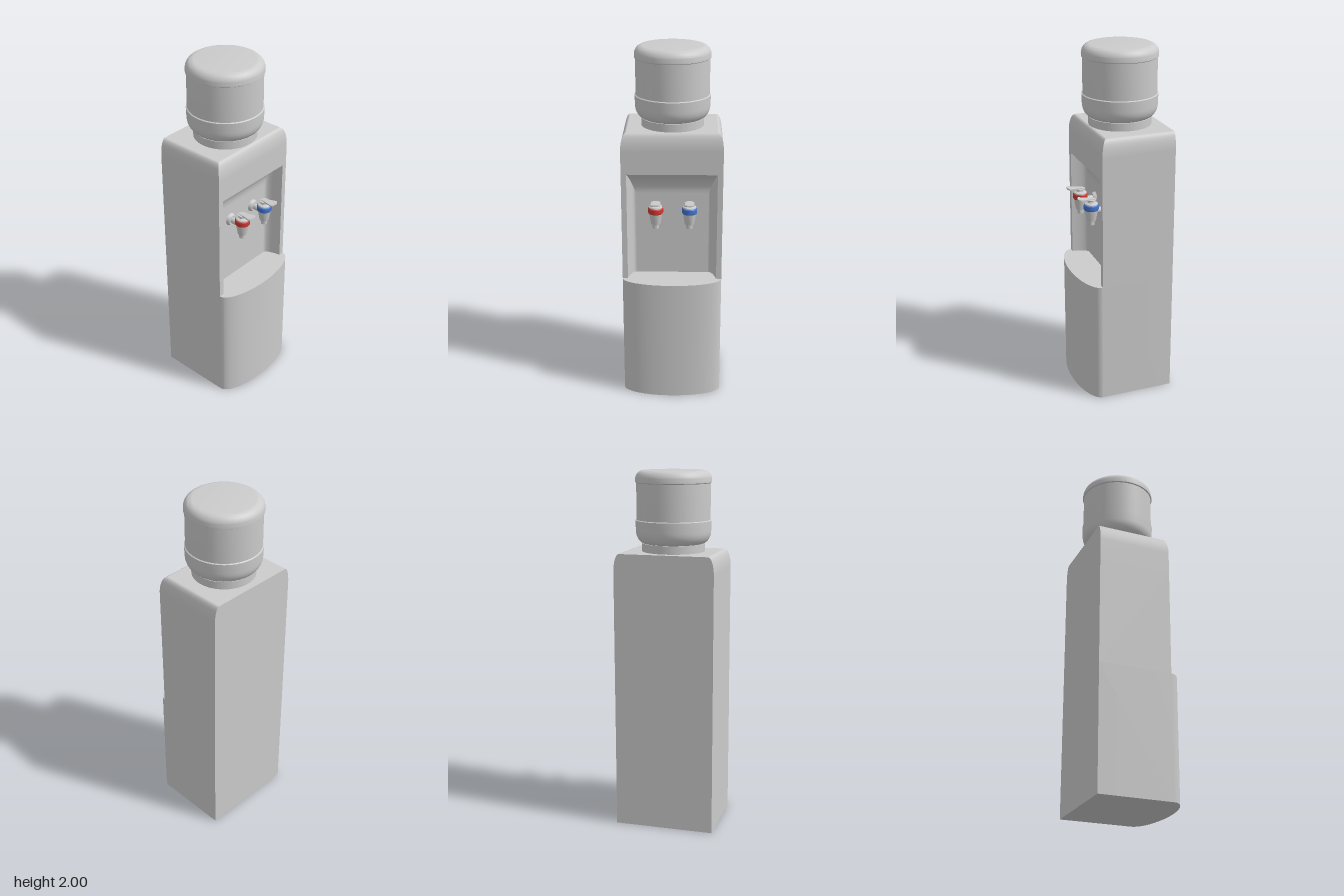
import * as THREE from 'three';
import { toCreasedNormals } from 'three/addons/utils/BufferGeometryUtils.js';

const W = 0.28, BACK = -0.26, FRONT = 0.16, SHELF = 0.71, TOP = 1.56;
const NICHE_W = 0.25, NICHE_TOP = 1.33, NICHE_Z = 0.07;
const BOTTLE_Z = -0.045;

const grey = new THREE.MeshStandardMaterial({ color: 0xcccccc });
const red = new THREE.MeshStandardMaterial({ color: 0xd0392f });
const blue = new THREE.MeshStandardMaterial({ color: 0x4474cc });

function add(parent, name, geometry, material = grey, x = 0, y = 0, z = 0) {
  const mesh = new THREE.Mesh(geometry, material);
  mesh.name = name;
  mesh.position.set(x, y, z);
  parent.add(mesh);
  return mesh;
}

// Ruled surface through [p, q] pairs: smooth along the rows, sharp at its sides
function strip(rows) {
  const index = [];
  for (let i = 0; i < rows.length - 1; i++) {
    const a = i * 2;
    index.push(a, a + 1, a + 3, a, a + 3, a + 2);
  }
  const g = new THREE.BufferGeometry();
  g.setAttribute('position', new THREE.Float32BufferAttribute(rows.flat(2), 3));
  g.setIndex(index);
  g.computeVertexNormals();
  return g;
}

// Rounded profile turned around y; points are [radius, height]
function turned(points, segments, crease = 0.6) {
  const g = new THREE.LatheGeometry(points.map(([r, y]) => new THREE.Vector2(r, y)), segments);
  return toCreasedNormals(g, crease);
}

// Points of an elliptical quarter arc, from angle a to angle b
function arc(cx, cy, rx, ry, a, b, n = 8) {
  return Array.from({ length: n + 1 }, (_, i) => {
    const t = a + (b - a) * i / n;
    return [cx + rx * Math.cos(t), cy + ry * Math.sin(t)];
  });
}

function createBase() {
  const s = new THREE.Shape();
  s.moveTo(-W, -BACK);
  s.lineTo(-W, -FRONT);
  s.absellipse(0, -FRONT, W, 0.1, Math.PI, Math.PI * 2, false);
  s.lineTo(W, -BACK);
  s.closePath();
  const g = new THREE.ExtrudeGeometry(s, { depth: SHELF, bevelEnabled: false, curveSegments: 40 });
  g.rotateX(-Math.PI / 2);
  return toCreasedNormals(g, 0.6);
}

function createCabinet() {
  const cabinet = new THREE.Group();
  cabinet.name = 'upperCabinet';

  // Outer shell: rings drawn in towards the rounded top, back stays upright
  const profile = [[0, SHELF], [0, NICHE_TOP], ...arc(-0.032, TOP - 0.1, 0.032, 0.1, 0, Math.PI / 2, 10)];
  const rings = profile.map(([d, y]) => [
    [-W - d, y, FRONT + d], [W + d, y, FRONT + d], [W + d, y, BACK], [-W - d, y, BACK],
  ]);
  ['front', 'leftSide', 'back', 'rightSide'].forEach((name, k) => {
    const rows = rings.map((r) => [r[k], r[(k + 1) % 4]]);
    add(cabinet, name + 'Panel', strip(k === 0 ? rows.slice(1) : rows));
  });
  const end = rings[rings.length - 1];
  add(cabinet, 'topPanel', strip([[end[0], end[1]], [end[3], end[2]]]));

  // Posts on both sides of the niche
  for (const side of [-1, 1]) {
    const g = new THREE.PlaneGeometry(W - NICHE_W, NICHE_TOP - SHELF);
    add(cabinet, 'nichePost', g, grey, side * (W + NICHE_W) / 2, (NICHE_TOP + SHELF) / 2, FRONT);
  }

  // Niche: walls and ceiling curve into the rear panel
  const curve = new THREE.QuadraticBezierCurve(
    new THREE.Vector2(0, FRONT), new THREE.Vector2(0.4, NICHE_Z), new THREE.Vector2(1, NICHE_Z));
  const steps = curve.getPoints(12).map(({ x: t, y: z }) => {
    const w = NICHE_W - 0.045 * t, top = NICHE_TOP - 0.135 * t;
    return [[w, SHELF, z], [w, top, z], [-w, top, z], [-w, SHELF, z]];
  });
  ['nicheLeftWall', 'nicheCeiling', 'nicheRightWall'].forEach((name, k) => {
    add(cabinet, name, strip(steps.map((r) => [r[k], r[k + 1]])));
  });
  const rear = steps[steps.length - 1];
  add(cabinet, 'nicheRearPanel', strip([[rear[3], rear[0]], [rear[2], rear[1]]]));
  return cabinet;
}

function createBottle() {
  const bottle = new THREE.Group();
  bottle.name = 'waterBottle';
  bottle.position.z = BOTTLE_Z;
  add(bottle, 'collar', new THREE.CylinderGeometry(0.174, 0.174, 0.045, 40), grey, 0, TOP + 0.0225, 0);
  add(bottle, 'bottle', turned([
    [0, 1.6], [0.155, 1.6],
    ...arc(0.155, 1.675, 0.053, 0.072, -Math.PI / 2, 0),
    [0.21, 1.73], [0.204, 1.734], [0.204, 1.932], [0.21, 1.936],
    ...arc(0.165, 1.95, 0.045, 0.05, 0, Math.PI / 2),
    [0, 2],
  ], 40));
  return bottle;
}

function createTap(name, x, material) {
  const tap = new THREE.Group();
  tap.name = name;
  tap.position.set(x, 0, FRONT);
  add(tap, 'spout', turned([
    [0, 1.02], [0.018, 1.02], [0.018, 1.045], [0.026, 1.045], [0.037, 1.11],
  ], 20));
  add(tap, 'colouredRing', turned([
    [0.03, 1.108], [0.038, 1.108], [0.042, 1.113], [0.042, 1.136], [0.038, 1.141], [0.03, 1.141],
  ], 20), material);
  add(tap, 'cap', turned([
    [0.038, 1.139], [0.036, 1.147], [0.022, 1.153], [0.02, 1.161], [0.027, 1.165], [0.027, 1.169], [0, 1.171],
  ], 20));

  // Flared lever with a rounded end, tilted up to the front
  const s = new THREE.Shape();
  s.moveTo(-0.012, -0.02);
  s.lineTo(0.012, -0.02);
  s.quadraticCurveTo(0.016, 0.025, 0.029, 0.063);
  s.bezierCurveTo(0.03, 0.083, -0.03, 0.083, -0.029, 0.063);
  s.quadraticCurveTo(-0.016, 0.025, -0.012, -0.02);
  const lever = new THREE.ExtrudeGeometry(s, { depth: 0.008, bevelEnabled: false, curveSegments: 10 });
  lever.rotateX(Math.PI / 2);
  add(tap, 'lever', toCreasedNormals(lever, 0.6), grey, 0, 1.174, 0).rotation.x = -0.09;

  // Stem and flange joining the tap to the niche
  const stem = new THREE.CylinderGeometry(0.017, 0.017, 0.09, 16).rotateX(Math.PI / 2);
  add(tap, 'stem', stem, grey, 0, 1.1, -0.045);
  const flange = new THREE.CylinderGeometry(0.028, 0.036, 0.018, 20).rotateX(Math.PI / 2);
  add(tap, 'flange', flange, grey, 0, 1.1, NICHE_Z - FRONT + 0.009);
  return tap;
}

export function createModel() {
  const model = new THREE.Group();
  model.name = 'waterDispenser';
  add(model, 'base', createBase());
  model.add(createCabinet(), createBottle());
  model.add(createTap('hotTap', -0.09, red), createTap('coldTap', 0.097, blue));
  return model;
}
